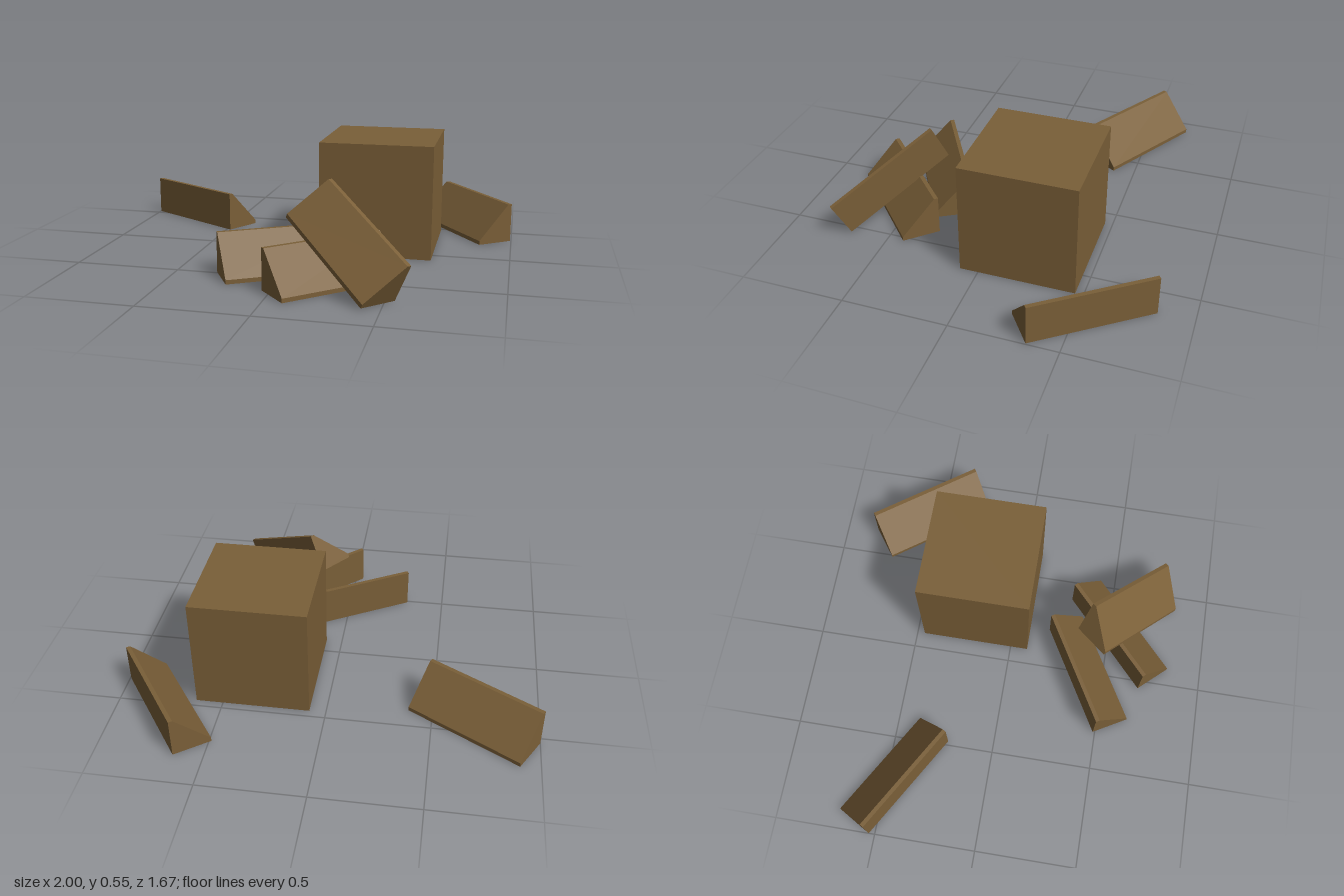
import * as THREE from 'three';

const wood = new THREE.MeshStandardMaterial({ color: 0x7a5f38 });
wood.name = 'brown wood';

// Wedge cross-section: square heel at the origin, blunt toe and blunt ridge.
function wedgeSection() {
  return new THREE.Shape([
    [0, 0], [0.187, 0], [0.187, 0.02], [0.02, 0.195], [0, 0.195],
  ].map(([x, y]) => new THREE.Vector2(x, y)));
}

// Split log whose heel edge runs from start to end, with its toe in the given direction.
function splitLog(name, start, end, toe) {
  const origin = new THREE.Vector3(...start);
  const along = new THREE.Vector3(...end).sub(origin);
  const length = along.length();
  along.normalize();
  const up = along.clone().cross(new THREE.Vector3(...toe)).normalize();
  const across = up.clone().cross(along);

  const geometry = new THREE.ExtrudeGeometry(wedgeSection(), { depth: length, bevelEnabled: false });
  geometry.applyMatrix4(new THREE.Matrix4().makeBasis(across, up, along).setPosition(origin));
  const mesh = new THREE.Mesh(geometry, wood);
  mesh.name = name;
  return mesh;
}

export function createModel() {
  const group = new THREE.Group();
  group.name = 'choppingBlockAndLogs';

  // Chopping block
  const block = new THREE.Mesh(new THREE.BoxGeometry(0.55, 0.553, 0.55), wood);
  block.name = 'choppingBlock';
  block.position.set(0.355, 0.2765, -0.187);
  group.add(block);

  // Split logs lying on the ground, and one leaning on the pile
  group.add(
    splitLog('backRightLog', [-1, 0, -0.53], [-0.48, 0, -0.23], [0.095, 0, -0.165]),
    splitLog('backLeftLog', [0.995, 0, -0.35], [0.64, 0, -0.835], [-0.15, 0, 0.11]),
    splitLog('pileRearLog', [0.21, 0, 0.19], [-0.31, 0, 0.49], [0.095, 0, 0.163]),
    splitLog('pileCrossLog', [0.4, 0, 0.285], [-0.04, 0, 0.69], [0.126, 0, 0.137]),
    splitLog('pileLeaningLog', [0.54, 0, 0.69], [0.135, 0.27, 0.335], [-0.125, 0.01, 0.14]),
  );
  return group;
}
